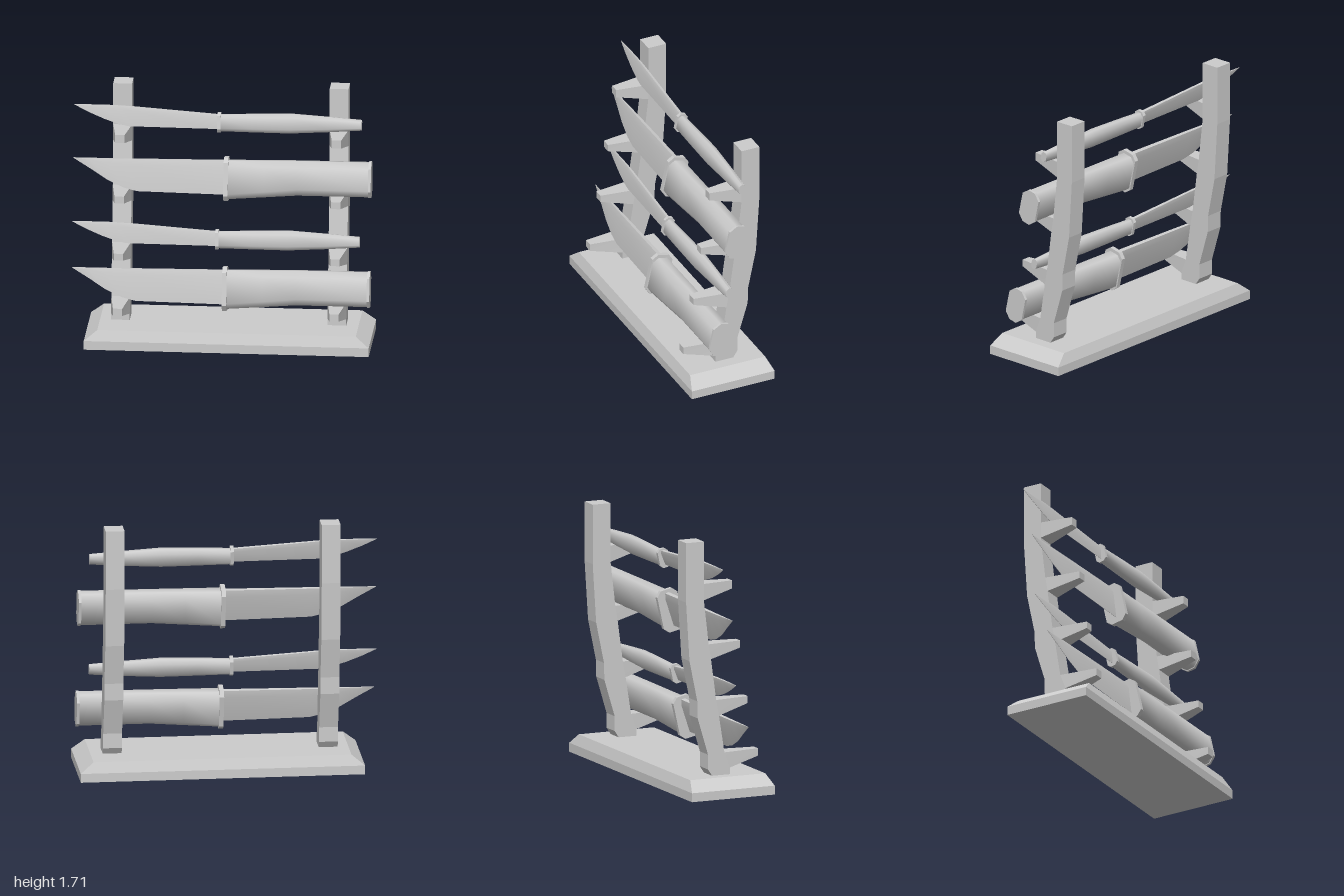
import * as THREE from 'three';
import { toCreasedNormals } from 'three/addons/utils/BufferGeometryUtils.js';

const material = new THREE.MeshStandardMaterial({ color: 0xcccccc });

function mesh(name, geometry) {
  const m = new THREE.Mesh(geometry, material);
  m.name = name;
  return m;
}

// Skin through rings of [z, y] points placed along x (counter-clockwise seen from +x)
function loft(rings, crease) {
  const n = rings[0].points.length;
  const positions = [];
  const index = [];
  rings.forEach(({ x, points }) => points.forEach(([z, y]) => positions.push(x, y, z)));
  for (let i = 0; i < rings.length - 1; i++) {
    for (let j = 0; j < n; j++) {
      const k = (j + 1) % n;
      const a = i * n + j, b = i * n + k, c = b + n, d = a + n;
      index.push(a, b, c, a, c, d);
    }
  }
  const last = (rings.length - 1) * n;
  for (let j = 1; j < n - 1; j++) {
    index.push(0, j + 1, j, last, last + j, last + j + 1);
  }
  const g = new THREE.BufferGeometry();
  g.setAttribute('position', new THREE.Float32BufferAttribute(positions, 3));
  g.setIndex(index);
  return toCreasedNormals(g, crease);
}

// Chamfered rectangle section
function octagon([x, top, bottom, width, cut]) {
  const w = width / 2, c = cut;
  return { x, points: [
    [-w, bottom + c], [-w, top - c], [-w + c, top], [w - c, top],
    [w, top - c], [w, bottom + c], [w - c, bottom], [-w + c, bottom],
  ] };
}

// Blade section: flat spine, swelling, then ground to an edge
function wedge([x, top, bottom, thickness]) {
  const t = thickness / 2, shoulder = top - (top - bottom) * 0.2;
  return { x, points: [
    [-t, shoulder], [-t * 0.7, top], [t * 0.7, top], [t, shoulder],
    [0.001, bottom], [-0.001, bottom],
  ] };
}

// Knife profiles: stations along x, heights measured from the knife's centre line
const LARGE = {
  blade: [
    [-0.985, 0.1, 0.097, 0.003], [-0.87, 0.1, 0.028, 0.012], [-0.76, 0.1, -0.042, 0.02],
    [-0.65, 0.101, -0.092, 0.026], [-0.56, 0.102, -0.114, 0.03], [0.02, 0.108, -0.122, 0.04],
  ],
  guard: [[0.015, 0.13, -0.16, 0.15, 0.035], [0.045, 0.13, -0.16, 0.15, 0.035]],
  handle: [
    [0.04, 0.108, -0.148, 0.132, 0.034], [0.28, 0.112, -0.13, 0.134, 0.038],
    [0.5, 0.116, -0.113, 0.136, 0.042], [0.972, 0.118, -0.112, 0.138, 0.042],
  ],
  pommel: [[0.972, 0.122, -0.117, 0.144, 0.043], [0.99, 0.122, -0.117, 0.144, 0.043]],
};
const SMALL = {
  blade: [
    [-0.985, 0.086, 0.084, 0.002], [-0.89, 0.087, 0.037, 0.01], [-0.786, 0.087, -0.006, 0.016],
    [-0.69, 0.086, -0.038, 0.02], [-0.62, 0.083, -0.052, 0.022], [-0.03, 0.044, -0.055, 0.028],
  ],
  guard: [[-0.035, 0.056, -0.075, 0.075, 0.02], [-0.012, 0.056, -0.075, 0.075, 0.02]],
  handle: [
    [-0.015, 0.043, -0.068, 0.062, 0.02], [0.2, 0.052, -0.07, 0.07, 0.023],
    [0.445, 0.06, -0.071, 0.078, 0.026], [0.7, 0.045, -0.056, 0.062, 0.02],
    [0.92, 0.03, -0.04, 0.046, 0.015],
  ],
};

function knife(name, spec, x, y, z) {
  const g = new THREE.Group();
  g.name = name;
  g.add(mesh('blade', loft(spec.blade.map(wedge), 0.5)));
  for (const part of ['guard', 'handle', 'pommel']) {
    if (spec[part]) g.add(mesh(part, loft(spec[part].map(octagon), part === 'handle' ? 0.9 : 0.5)));
  }
  g.position.set(x, y, z);
  g.rotation.x = -0.22; // leans back against the posts
  return g;
}

// Pegs: front z, front bottom y, top y, root bottom z and y, root top z
const PEGS = [
  [0.27, 0.23, 0.28, 0.05, 0.175, 0.01],
  [0.195, 0.59, 0.637, -0.03, 0.53, -0.05],
  [0.14, 0.968, 1.016, -0.088, 0.915, -0.105],
  [0.08, 1.37, 1.425, -0.14, 1.315, -0.14],
];
const POST_WIDTH = 0.125;

function peg([zFront, yFront, yTop, zRoot, yRoot, zRootTop]) {
  const g = new THREE.BoxGeometry(1, 1, 1);
  const p = g.attributes.position;
  for (let i = 0; i < p.count; i++) {
    const front = p.getZ(i) > 0, top = p.getY(i) > 0;
    p.setXYZ(i,
      p.getX(i) * (front ? 0.062 : POST_WIDTH),
      top ? yTop : front ? yFront : yRoot,
      front ? zFront : top ? zRootTop : zRoot);
  }
  g.computeVertexNormals();
  return mesh('peg', g);
}

// Bent post, drawn in side profile and extruded across its width
function rackPost(name, x) {
  const group = new THREE.Group();
  group.name = name;
  const front = [[0.05, 0.13]];
  for (const [, , yTop, zRoot, yRoot, zRootTop] of PEGS) front.push([zRoot, yRoot], [zRootTop, yTop]);
  const back = [
    [-0.14, 1.71], [-0.27, 1.71], [-0.27, 1.31], [-0.245, 0.915],
    [-0.188, 0.64], [-0.185, 0.525], [-0.11, 0.275], [-0.11, 0.175], [-0.08, 0.13],
  ];
  const shape = new THREE.Shape([...front, ...back].map(([z, y]) => new THREE.Vector2(-z, y)));
  const g = new THREE.ExtrudeGeometry(shape, { depth: POST_WIDTH, bevelEnabled: false });
  g.translate(0, 0, -POST_WIDTH / 2).rotateY(Math.PI / 2);
  group.add(mesh('post', g), ...PEGS.map(peg));
  group.position.x = x;
  return group;
}

// Plinth with a sloped upper rim
function base() {
  const group = new THREE.Group();
  group.name = 'base';
  const plinth = mesh('plinth', new THREE.BoxGeometry(1.885, 0.06, 0.604));
  plinth.position.y = 0.03;
  const g = new THREE.BoxGeometry(1.885, 0.07, 0.604);
  const p = g.attributes.position;
  for (let i = 0; i < p.count; i++) {
    if (p.getY(i) > 0) {
      p.setX(i, Math.sign(p.getX(i)) * 0.855);
      p.setZ(i, Math.sign(p.getZ(i)) * 0.274);
    }
  }
  g.computeVertexNormals();
  const rim = mesh('slopedTop', g);
  rim.position.y = 0.095;
  group.add(plinth, rim);
  group.position.x = 0.055;
  return group;
}

export function createModel() {
  const model = new THREE.Group();
  model.name = 'knifeRack';
  model.add(
    base(),
    rackPost('rightPost', -0.666),
    rackPost('leftPost', 0.766),
    knife('lowerLargeKnife', LARGE, 0, 0.395, 0.085),
    knife('lowerSmallKnife', SMALL, -0.007, 0.697, -0.012),
    knife('upperLargeKnife', LARGE, 0, 1.119, -0.032),
    knife('upperSmallKnife', SMALL, 0, 1.48, -0.103),
  );
  return model;
}
